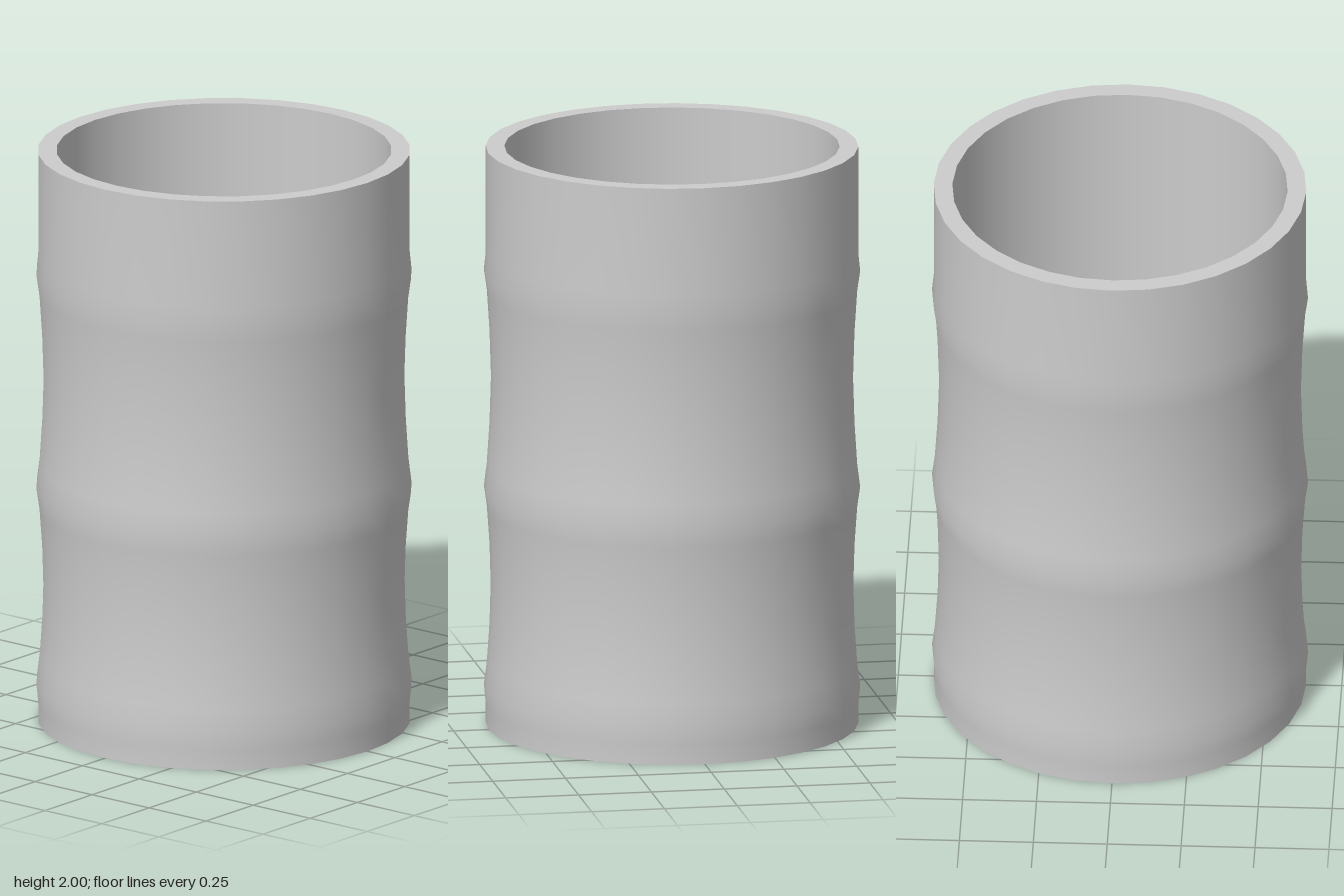
import * as THREE from 'three';

export function createModel() {
  const group = new THREE.Group();
  const grey = new THREE.MeshStandardMaterial({ color: 0xcccccc });
  grey.name = 'plain grey';

  const SIDES = 32, INNER = 0.567, RIM = 0.63, HEIGHT = 2, LIP = 0.04;

  // Each turned part is its own mesh, so the edges between parts stay sharp
  const turn = (name, profile) => {
    const points = profile.map(([r, y]) => new THREE.Vector2(r, y));
    const mesh = new THREE.Mesh(new THREE.LatheGeometry(points, SIDES), grey);
    mesh.name = name;
    group.add(mesh);
  };

  // Outer wall: three shallow ridges with hollows between them
  turn('outerWall', [
    [RIM, 0], [RIM, 0.07], [0.636, 0.13], [0.626, 0.21], [0.617, 0.34],
    [0.613, 0.48], [0.617, 0.62], [0.626, 0.75], [0.636, 0.82], [0.626, 0.9],
    [0.617, 1.04], [0.612, 1.2], [0.617, 1.36], [0.626, 1.5], [0.636, 1.57],
    [RIM, 1.63], [RIM, HEIGHT],
  ]);

  // Open top: flat rim, short lip and the deep inner wall
  turn('topRim', [[RIM, HEIGHT], [INNER, HEIGHT]]);
  turn('topLip', [[INNER, HEIGHT], [INNER, HEIGHT - LIP]]);
  turn('innerWall', [[INNER, HEIGHT - LIP], [INNER, LIP + 0.02]]);
  turn('innerFloor', [[INNER, LIP + 0.02], [0, LIP + 0.02]]);

  // Underside: flat foot ring around a recessed base
  turn('recessedBase', [[0, LIP], [INNER, LIP]]);
  turn('footLip', [[INNER, LIP], [INNER, 0]]);
  turn('footRing', [[INNER, 0], [RIM, 0]]);

  return group;
}
